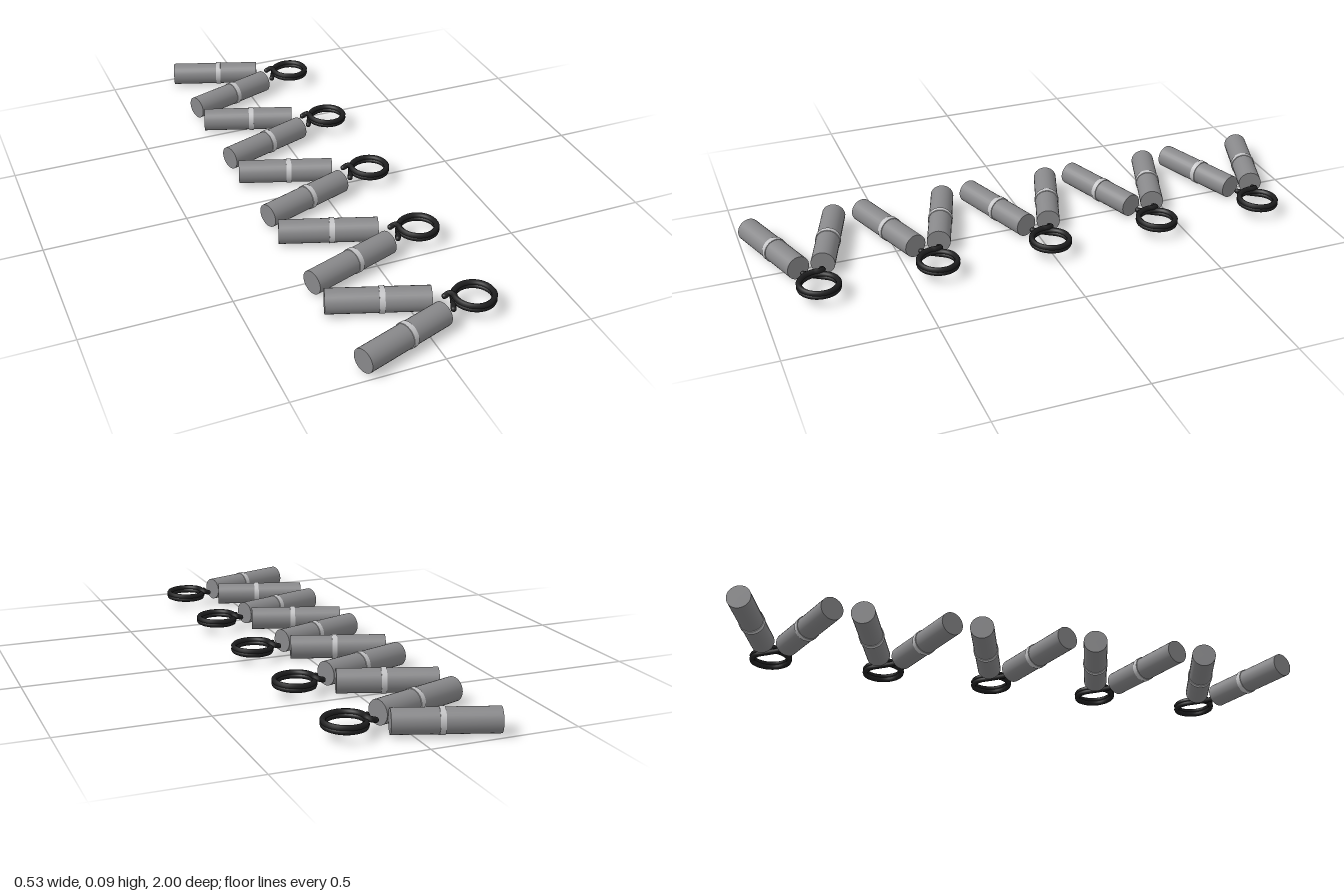
import * as THREE from 'three';

const AXIS_Y = 0.0447;   // height of the tube axes
const TILT = 0.335;      // half angle of each V, radians
const PITCH = 0.405;     // spacing of the Vs along z

// Two-turn wire coil whose ends leave the loop as short crossing tails
function coilGeometry() {
  const R = 0.065, turns = 1.95, start = Math.PI + 0.55, steps = 48;
  const points = [
    new THREE.Vector3(-0.088, -0.002, 0.034),
    new THREE.Vector3(-0.074, -0.007, 0.006),
  ];
  for (let i = 0; i <= steps; i++) {
    const t = i / steps;
    const a = start + t * turns * Math.PI * 2;
    points.push(new THREE.Vector3(R * Math.cos(a), -0.0115 + 0.023 * t, R * Math.sin(a)));
  }
  points.push(new THREE.Vector3(-0.07, 0.009, -0.03), new THREE.Vector3(-0.088, 0.003, -0.029));
  return new THREE.CatmullRomCurve3(points).getPoints(160);
}

export function createModel() {
  const grey = new THREE.MeshStandardMaterial({ color: 0x88888a });
  grey.name = 'tube grey';
  const pale = new THREE.MeshStandardMaterial({ color: 0xc4c4c6 });
  pale.name = 'band pale grey';
  const black = new THREE.MeshStandardMaterial({ color: 0x1e1e1f });
  black.name = 'wire black';

  // Tubes and bands lie along x
  const tubeGeo = new THREE.CylinderGeometry(0.0412, 0.0412, 0.334, 28).rotateZ(-Math.PI / 2);
  const bandGeo = new THREE.CylinderGeometry(0.0438, 0.0438, 0.018, 28).rotateZ(-Math.PI / 2);

  // Wire swept along the coil, with rounded tips
  const wirePath = new THREE.CatmullRomCurve3(coilGeometry());
  const wireGeo = new THREE.TubeGeometry(wirePath, 180, 0.0095, 8, false);
  const tipGeo = new THREE.SphereGeometry(0.0095, 10, 8);

  const model = new THREE.Group();
  model.name = 'tubeChain';

  for (let i = -2; i <= 2; i++) {
    const unit = new THREE.Group();
    unit.name = 'pair' + (i + 3);
    unit.position.set(0, AXIS_Y, i * PITCH);

    // Two tubes form a V pointing to +x
    for (const side of [-1, 1]) {
      const arm = new THREE.Group();
      arm.name = side < 0 ? 'backTube' : 'frontTube';
      arm.position.set(-0.0965, 0, side * 0.0965);
      arm.rotation.y = side * TILT;
      const tube = new THREE.Mesh(tubeGeo, grey);
      tube.name = 'tube';
      const band = new THREE.Mesh(bandGeo, pale);
      band.name = 'band';
      band.position.x = 0.012;
      arm.add(tube, band);
      unit.add(arm);
    }

    // Coil beside the point of the V
    const coil = new THREE.Group();
    coil.name = 'coil';
    coil.position.set(0.189, 0.002, 0);
    const wire = new THREE.Mesh(wireGeo, black);
    wire.name = 'coilWire';
    coil.add(wire);
    for (const t of [0, 1]) {
      const tip = new THREE.Mesh(tipGeo, black);
      tip.name = 'wireTip';
      tip.position.copy(wirePath.getPoint(t));
      coil.add(tip);
    }
    unit.add(coil);
    model.add(unit);
  }
  return model;
}
